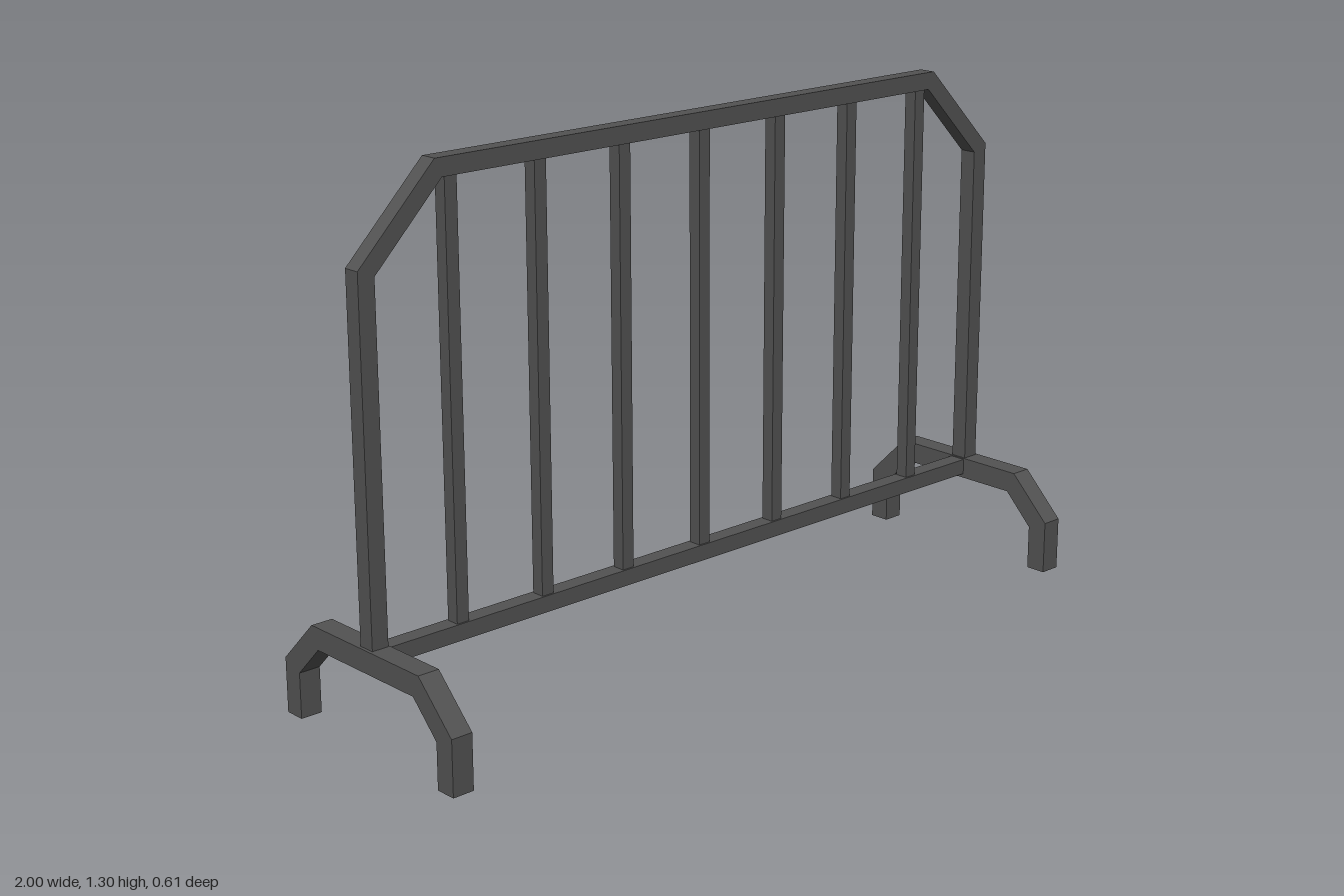
import * as THREE from 'three';

const steel = new THREE.MeshStandardMaterial({ color: 0x525252 });
steel.name = 'darkGreySteel';

// Extrude a flat outline, centred on its own depth
function extrude(points, depth, hole) {
  const toVectors = (list) => list.map(([x, y]) => new THREE.Vector2(x, y));
  const shape = new THREE.Shape(toVectors(points));
  if (hole) shape.holes.push(new THREE.Path(toVectors(hole)));
  const geometry = new THREE.ExtrudeGeometry(shape, { depth, bevelEnabled: false });
  return geometry.translate(0, 0, -depth / 2);
}

// Complete a half outline by mirroring it across x = 0
const mirrored = (half) => [...half, ...half.map(([x, y]) => [-x, y]).reverse()];

export function createModel() {
  const group = new THREE.Group();
  group.name = 'crowdBarrier';
  const add = (name, geometry, x = 0, y = 0, z = 0) => {
    const mesh = new THREE.Mesh(geometry, steel);
    mesh.name = name;
    mesh.position.set(x, y, z);
    group.add(mesh);
    return mesh;
  };

  // Square-tube frame with cut upper corners
  const outer = mirrored([[0.992, 0.202], [0.992, 1.092], [0.784, 1.302]]);
  const inner = mirrored([[0.949, 0.242], [0.949, 1.074], [0.766, 1.259]]);
  add('frame', extrude(outer, 0.043, inner));

  // Seven upright bars
  const bar = new THREE.BoxGeometry(0.033, 1.03, 0.033);
  for (let i = -3; i <= 3; i++) add('uprightBar', bar, i * 0.2465, 0.75);

  // Bent feet, one under each end
  const foot = extrude(mirrored([
    [0.252, 0], [0.305, 0], [0.305, 0.135], [0.195, 0.245],
  ]).slice(1, 7).concat([
    [-0.252, 0], [-0.252, 0.112], [-0.174, 0.191],
    [0.174, 0.191], [0.252, 0.112], [0.252, 0],
  ]), 0.055);
  foot.rotateY(Math.PI / 2);
  for (const side of [-1, 1]) add(side > 0 ? 'leftFoot' : 'rightFoot', foot, side * 0.9725);

  return group;
}
